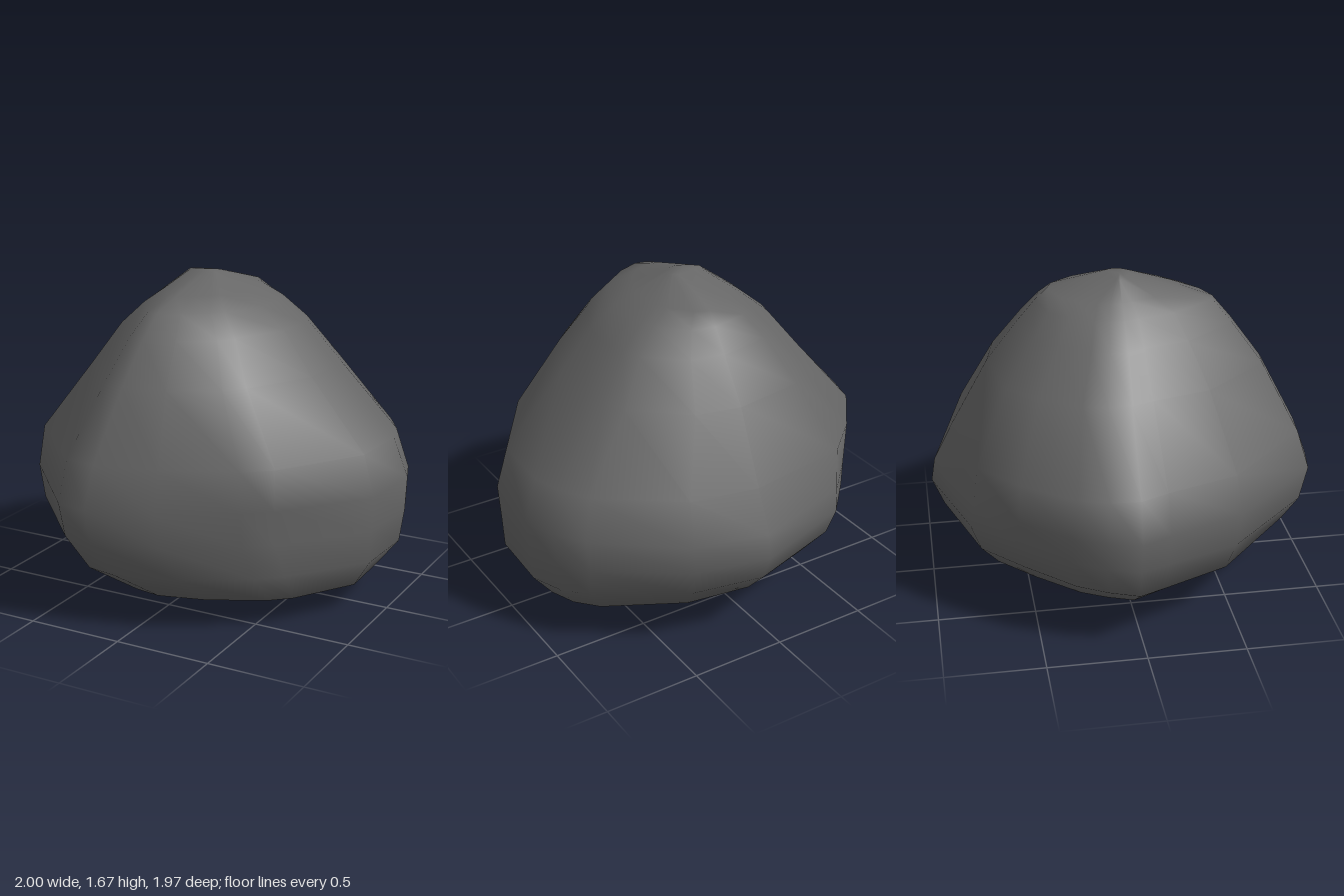
import * as THREE from 'three';

// Plan outline at the widest level, running left-back-right-front (x, z)
const OUTLINE = [
  [-1, -0.03], [-0.96, -0.19], [-0.89, -0.35], [-0.68, -0.6], [-0.48, -0.81], [0.06, -0.98],
  [0.43, -0.88], [0.84, -0.56], [0.94, -0.4], [1, -0.23], [0.97, 0.15], [0.63, 0.56],
  [0.5, 0.67], [0.15, 0.88], [-0.18, 0.98], [-0.35, 0.95], [-0.78, 0.5], [-0.93, 0.12],
];

// Levels from the bottom: height, reach to -x, +x, +z, -z, diagonal bulge, back lift, toe shift
const LEVELS = [
  [0.03, 0.36, 0.62, 0.3, 0.33, 0, 0.3, 0.3],
  [0.14, 0.74, 0.85, 0.7, 0.79, 0.03, 0.12, 0.27],
  [0.29, 0.94, 0.97, 0.89, 0.92, 0, 0.09, 0.1],
  [0.46, 0.98, 0.99, 0.95, 0.98, 0, 0.06, 0],
  [0.64, 1, 1, 0.99, 0.96, 0, 0, 0],
  [0.85, 0.94, 0.91, 0.9, 0.85, 0.1, 0, 0],
  [1.2, 0.63, 0.6, 0.72, 0.66, 0.12, 0, 0],
  [1.41, 0.47, 0.44, 0.57, 0.5, 0.1, 0, 0],
  [1.52, 0.34, 0.31, 0.48, 0.41, 0.08, 0, 0],
  [1.58, 0.26, 0.2, 0.32, 0.35, 0.05, 0, 0],
  [1.66, 0.15, 0.03, 0.06, 0.05, 0, 0, 0],
];

function boulderGeometry() {
  const n = OUTLINE.length;
  const pos = [];
  const index = [];

  // Each level is the outline stretched to its own reach on the four sides
  for (const [y, left, right, front, back, bulge, lift, toe] of LEVELS) {
    for (const [px, pz] of OUTLINE) {
      // Fuller on the front +x and back -x diagonals than on the other two
      const s = Math.sin(2 * Math.atan2(pz, px));
      const b = 1 + bulge * (0.7 * Math.abs(s) + 0.3 * s);
      const x = px * b * (px < 0 ? left : right);
      const z = (pz / 0.98) * b * (pz < 0 ? back : front);
      // The underside rises to the back and -x; the front foot leans to +x
      pos.push(x + toe * Math.max(0, z), y + Math.max(0, -z - 0.35 * x) * lift, z);
    }
  }

  // Walls between levels
  for (let r = 0; r < LEVELS.length - 1; r++) {
    for (let i = 0; i < n; i++) {
      const j = (i + 1) % n;
      const a = r * n + i, b = r * n + j, c = b + n, d = a + n;
      index.push(a, d, c, a, c, b);
    }
  }

  // Underside and summit
  const bottom = pos.length / 3;
  pos.push(0.2, 0, 0.1, -0.06, 1.667, 0.01);
  const top = bottom + 1;
  const last = (LEVELS.length - 1) * n;
  for (let i = 0; i < n; i++) {
    const j = (i + 1) % n;
    index.push(bottom, i, j, top, last + j, last + i);
  }

  const geo = new THREE.BufferGeometry();
  geo.setAttribute('position', new THREE.Float32BufferAttribute(pos, 3));
  geo.setIndex(index);
  geo.computeVertexNormals();
  return geo;
}

export function createModel() {
  const group = new THREE.Group();
  group.name = 'rock';
  const boulder = new THREE.Mesh(
    boulderGeometry(),
    new THREE.MeshStandardMaterial({ color: 0x666666 })
  );
  boulder.name = 'boulder';
  group.add(boulder);
  return group;
}
